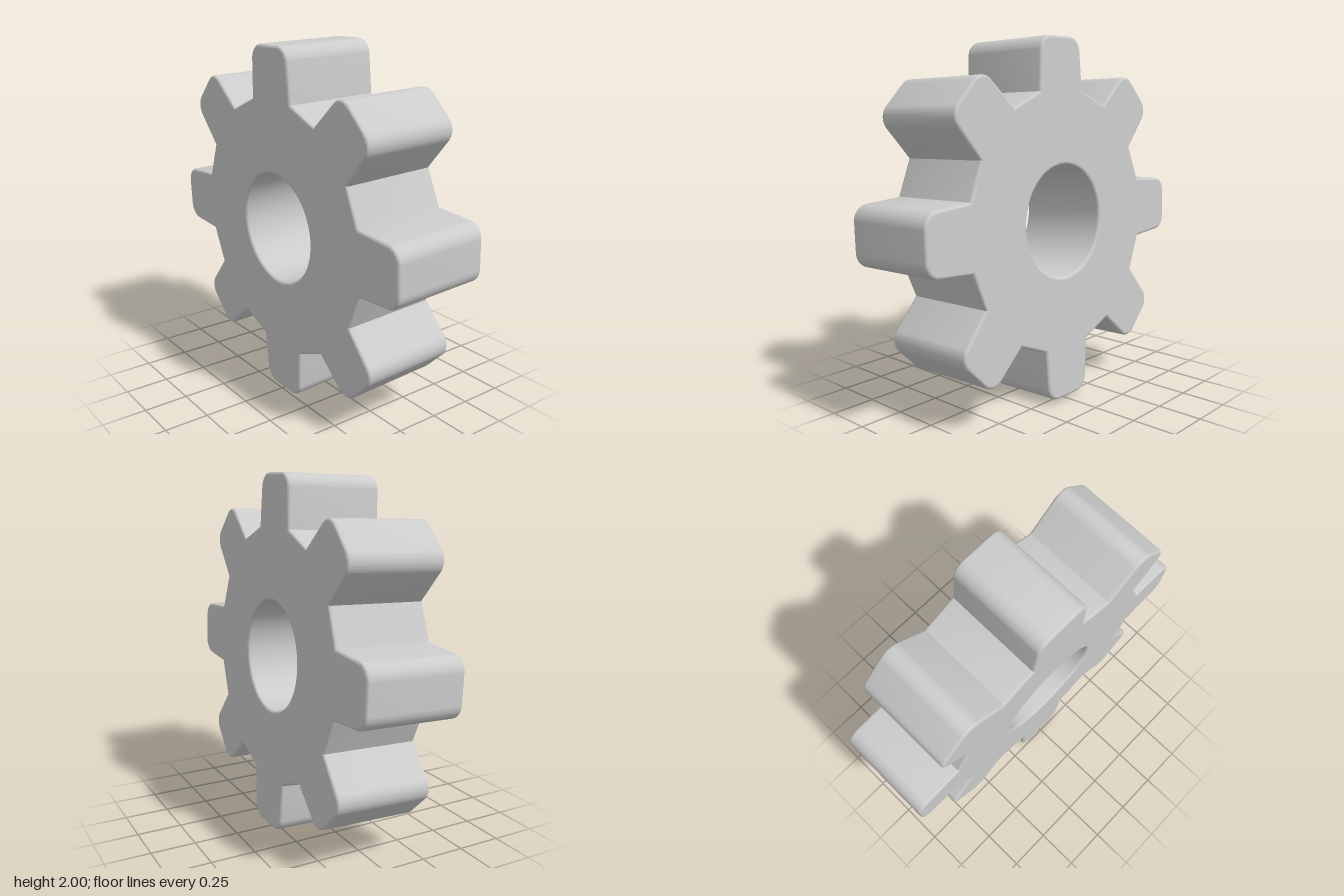
import * as THREE from 'three';
import { toCreasedNormals } from 'three/addons/utils/BufferGeometryUtils.js';

const TEETH = 8;
const DEPTH = 0.55, BEVEL = 0.016;
const TIP_R = 0.99, TIP_HALF = 0.157;     // tooth tip
const ROOT_R = 0.70, ROOT_HALF = 0.176;   // tooth root
const HOLE_R = 0.308, ROUND = 0.078, TILT = 0.0365;

// Outline: tapered teeth with rounded tips, straight valleys between them
function gearShape() {
  const shape = new THREE.Shape();
  const side = (ROUND / (TIP_R - ROOT_R)) * (ROOT_HALF - TIP_HALF);
  const k = 0.45; // distance of curve handles from the corner, as a share of ROUND
  for (let i = 0; i < TEETH; i++) {
    const a = (i / TEETH) * Math.PI * 2;
    // r runs outward along the tooth, t across it
    const p = (r, t) => [r * Math.cos(a) - t * Math.sin(a), r * Math.sin(a) + t * Math.cos(a)];
    const root = p(ROOT_R, -ROOT_HALF);
    if (i === 0) shape.moveTo(...root);
    else shape.lineTo(...root);
    shape.lineTo(...p(TIP_R - ROUND, -TIP_HALF - side));
    shape.bezierCurveTo(...p(TIP_R - ROUND * k, -TIP_HALF - side * k),
      ...p(TIP_R, -TIP_HALF + ROUND * k), ...p(TIP_R, -TIP_HALF + ROUND));
    shape.lineTo(...p(TIP_R, TIP_HALF - ROUND));
    shape.bezierCurveTo(...p(TIP_R, TIP_HALF - ROUND * k),
      ...p(TIP_R - ROUND * k, TIP_HALF + side * k), ...p(TIP_R - ROUND, TIP_HALF + side));
    shape.lineTo(...p(ROOT_R, ROOT_HALF));
  }
  shape.closePath();
  // Axle hole
  const hole = new THREE.Path();
  hole.absarc(0, 0, HOLE_R, 0, Math.PI * 2, true);
  shape.holes.push(hole);
  return shape;
}

// Keep the two end faces perfectly flat beside the rounded rims
function flattenCaps(geometry) {
  const pos = geometry.attributes.position, nor = geometry.attributes.normal;
  const onCap = (i) => Math.abs(Math.abs(pos.getZ(i)) - DEPTH / 2) < 1e-5;
  for (let i = 0; i < pos.count; i += 3) {
    if (!(onCap(i) && onCap(i + 1) && onCap(i + 2))) continue;
    for (let j = i; j < i + 3; j++) nor.setXYZ(j, 0, 0, Math.sign(pos.getZ(j)));
  }
  return geometry;
}

export function createModel() {
  const group = new THREE.Group();
  group.name = 'gear';

  const body = new THREE.ExtrudeGeometry(gearShape(), {
    depth: DEPTH - 2 * BEVEL,
    bevelEnabled: true,
    bevelThickness: BEVEL,
    bevelSize: BEVEL,
    bevelOffset: -BEVEL,
    bevelSegments: 4,
    curveSegments: 32,
  });
  body.translate(0, 0, -(DEPTH - 2 * BEVEL) / 2);

  const gear = new THREE.Mesh(
    flattenCaps(toCreasedNormals(body, 0.55)),
    new THREE.MeshStandardMaterial({ color: 0xcccccc })
  );
  gear.name = 'toothedWheel';
  // The wheel leans slightly forward
  gear.rotation.x = TILT;
  gear.position.y = 1;
  group.add(gear);
  return group;
}
